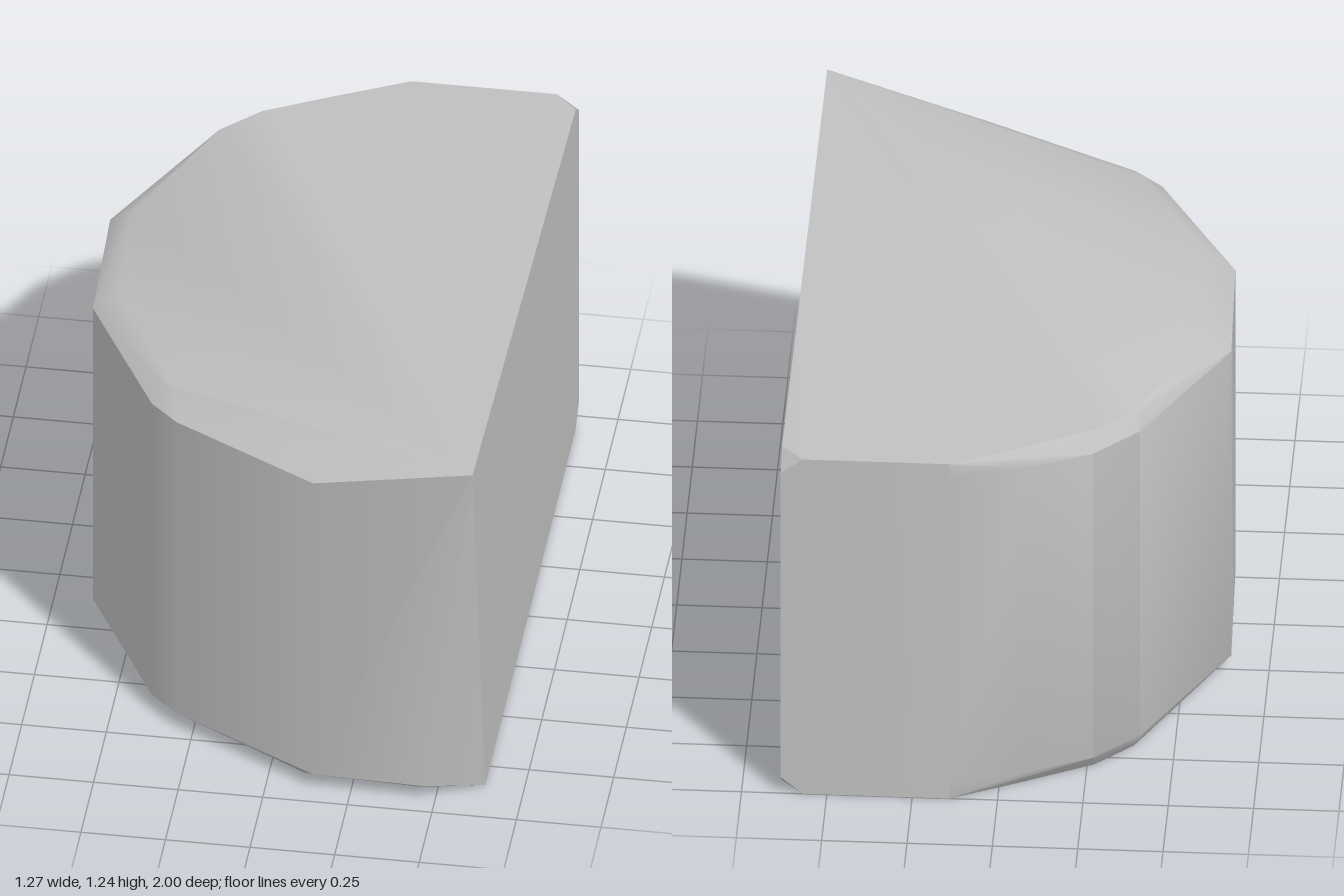
import * as THREE from 'three';
import { ConvexGeometry } from 'three/addons/geometries/ConvexGeometry.js';
import { toCreasedNormals } from 'three/addons/utils/BufferGeometryUtils.js';

// Rounded wall outline seen from above, as x, z, running from back to front
const WALL = [
  [0.14, -1], [-0.08, -0.93], [-0.27, -0.84], [-0.4, -0.71],
  [-0.64, -0.26], [-0.625, 0.18], [-0.385, 0.62], [-0.3, 0.7], [0.14, 0.94],
];
// The same outline drawn in to where the bevels meet the top and the base
const INSET = [
  [0.14, -1], [-0.06, -0.9], [-0.27, -0.79], [-0.38, -0.68],
  [-0.57, -0.25], [-0.555, 0.16], [-0.34, 0.59],
];

export function createModel() {
  const group = new THREE.Group();
  const stone = new THREE.MeshStandardMaterial({ color: 0xc0c0c0 });
  stone.name = 'light grey';

  const points = [];
  const add = (x, y, z) => points.push(new THREE.Vector3(x, y, z));

  // curved wall and its bevels
  for (const [x, z] of WALL) {
    add(x, 0.055, z);
    add(x, 1.11, z);
  }
  for (const [x, z] of INSET) {
    add(x, 0, z);
    add(x, 1.16, z);
  }

  // clipped back corners of the flat side
  for (const [edge, cap] of [[0.055, 0], [1.11, 1.16]]) {
    add(0.57, cap, -1);
    add(0.635, cap, -0.93);
    add(0.635, edge, -1);
  }

  // front corner: raised tip above, slanting cut below
  add(0.62, 1.235, 1);
  add(0.47, 0.055, 0.95);
  add(0.635, 0.005, 0.85);
  add(0.1, 0, 0.86);
  add(0.45, 0, 0.88);

  const block = new THREE.Mesh(toCreasedNormals(new ConvexGeometry(points), 0.6), stone);
  block.name = 'bevelledBlock';
  group.add(block);
  return group;
}
